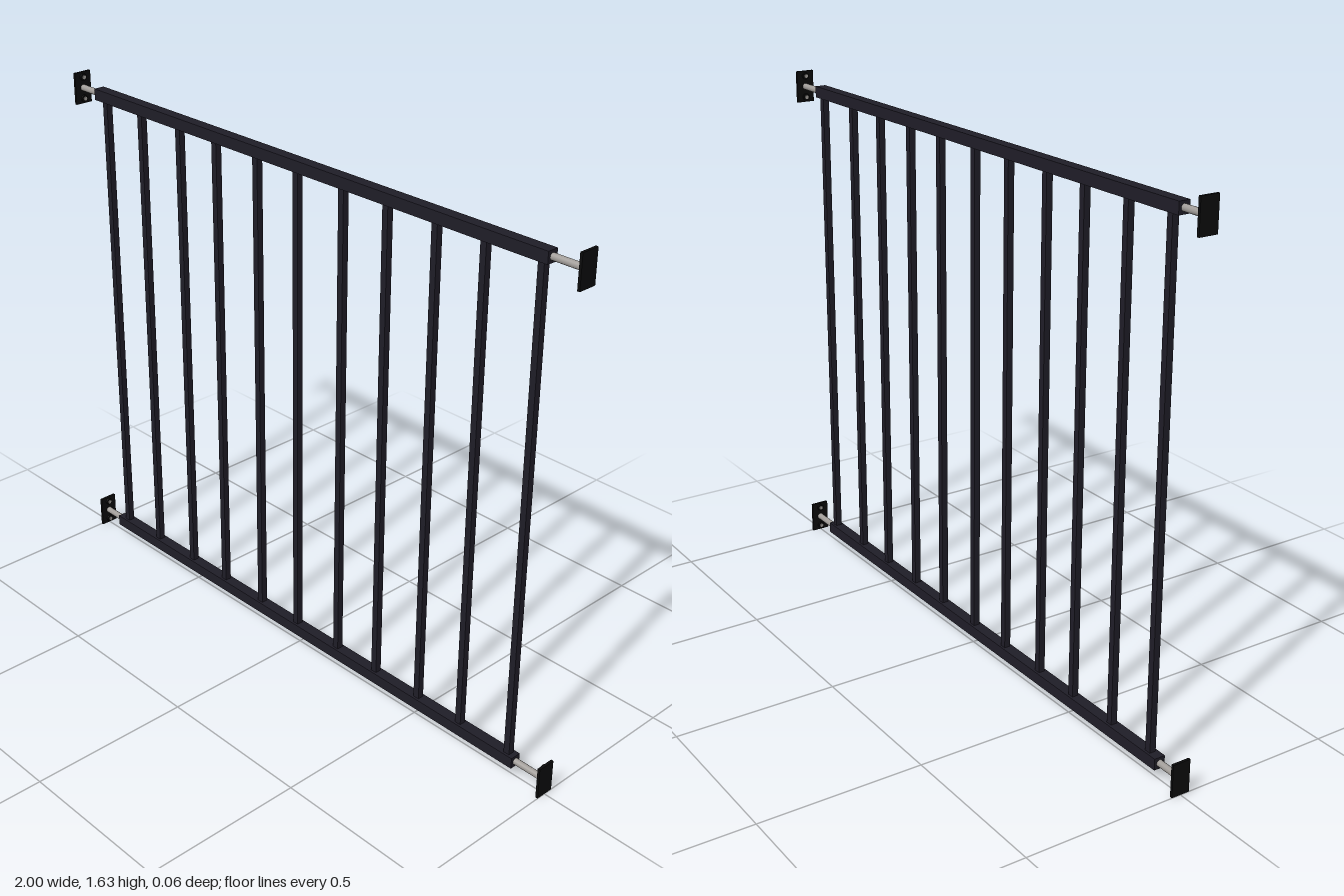
import * as THREE from 'three';

export function createModel() {
  const group = new THREE.Group();
  group.name = 'barrierGate';
  const mat = (name, color) => {
    const m = new THREE.MeshStandardMaterial({ color });
    m.name = name;
    return m;
  };
  const frameMat = mat('dark frame', 0x1f1d27);
  const plateMat = mat('black plate', 0x0b0b0c);
  const steelMat = mat('grey steel', 0xa09c98);

  const add = (parent, name, geo, material, x, y, z = 0) => {
    const mesh = new THREE.Mesh(geo, material);
    mesh.name = name;
    mesh.position.set(x, y, z);
    parent.add(mesh);
    return mesh;
  };
  // Cylinder lying along x
  const rodGeo = (r, length, sides) =>
    new THREE.CylinderGeometry(r, r, length, sides).rotateZ(Math.PI / 2);

  const yLow = 0.05, yHigh = 1.58;
  const railLeft = 0.89, railRight = -0.91;

  // Upright bars, slightly uneven in spacing
  const barX = [-0.87, -0.70, -0.52, -0.355, -0.177, -0.01, 0.171, 0.337, 0.513, 0.679, 0.864];
  const barGeo = new THREE.BoxGeometry(0.02, yHigh - yLow, 0.02);
  for (const x of barX) add(group, 'uprightBar', barGeo, frameMat, x, (yLow + yHigh) / 2);

  // Wall plate outline with two screw holes, lying in the yz plane
  const screwY = 0.034;
  const plateGeo = new THREE.BoxGeometry(0.008, 0.1, 0.058);
  const bossGeo = rodGeo(0.011, 0.007, 16);
  const screwGeo = rodGeo(0.006, 0.004, 12);

  for (const y of [yLow, yHigh]) {
    // Horizontal rail
    const length = railLeft - railRight;
    add(group, 'rail', new THREE.BoxGeometry(length, 0.035, 0.035), frameMat,
      (railLeft + railRight) / 2, y);

    for (const side of [-1, 1]) {
      const mount = new THREE.Group();
      mount.name = side > 0 ? 'leftMount' : 'rightMount';
      group.add(mount);

      // Threaded rod from inside the rail to the plate
      const railEnd = side > 0 ? railLeft : -railRight;
      const inner = railEnd - 0.03, outer = 0.993;
      add(mount, 'rod', rodGeo(0.01, outer - inner, 16), steelMat, side * (inner + outer) / 2, y);

      // Wall plate with raised screw seats on its inner face
      add(mount, 'wallPlate', plateGeo, plateMat, side * 0.996, y);
      for (const s of [-1, 1]) {
        add(mount, 'screwSeat', bossGeo, plateMat, side * 0.9895, y + s * screwY);
        add(mount, 'screwHead', screwGeo, steelMat, side * 0.9855, y + s * screwY);
      }
    }
  }
  return group;
}
